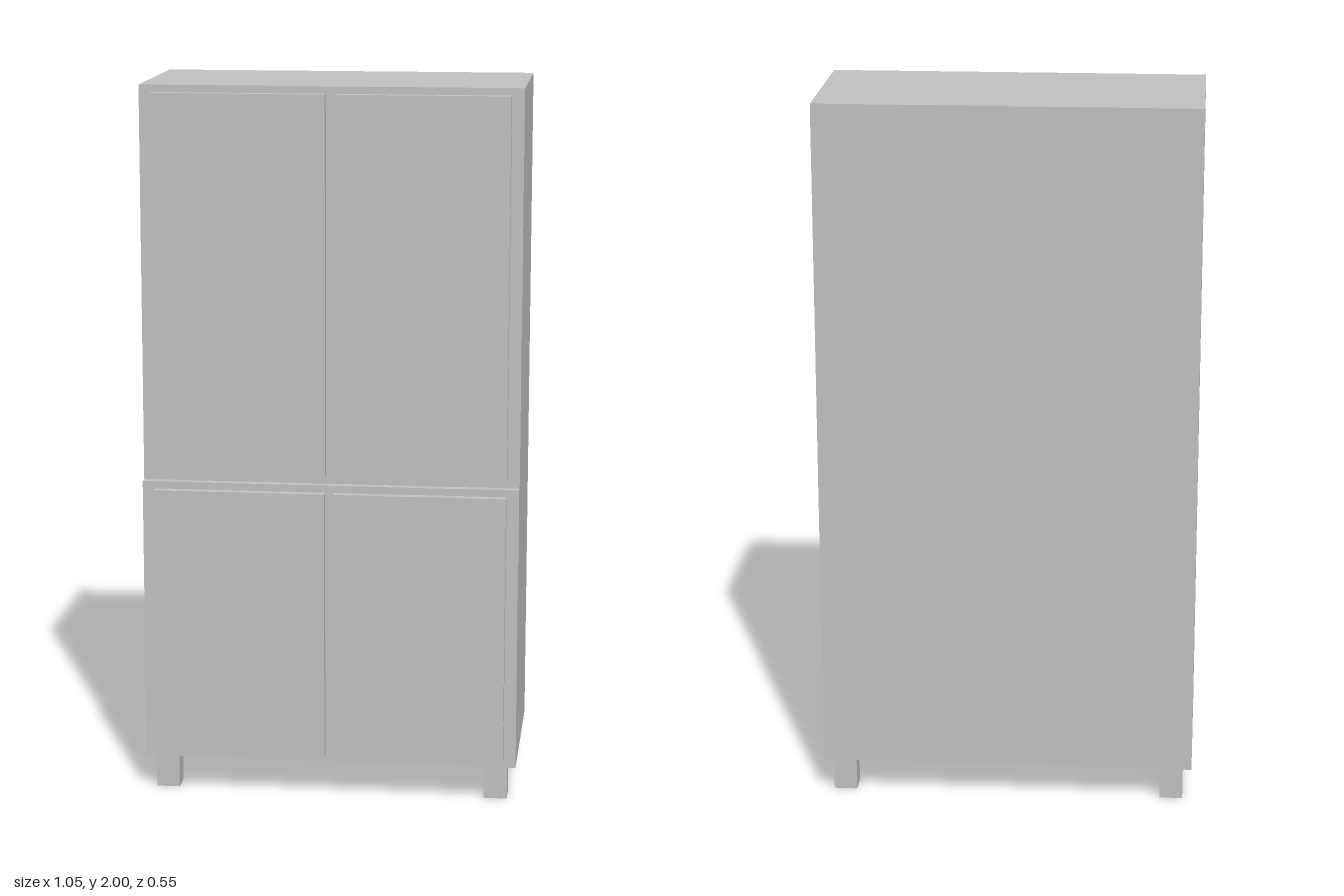
import * as THREE from 'three';

export function createModel() {
  const group = new THREE.Group();
  group.name = 'cupboard';
  const grey = new THREE.MeshStandardMaterial({ color: 0xc0c0c0 });
  grey.name = 'light grey';

  const box = (name, w, h, d, x, y, z) => {
    const mesh = new THREE.Mesh(new THREE.BoxGeometry(w, h, d), grey);
    mesh.name = name;
    mesh.position.set(x, y, z);
    group.add(mesh);
  };

  // Stepped side profile (shape x = depth), extruded across the width
  const profile = new THREE.Shape([
    [-0.275, 0.1], [0.25, 0.1], [0.25, 0.9], [0.225, 0.9], [0.225, 2], [-0.275, 2],
  ].map(([z, y]) => new THREE.Vector2(z, y)));
  const carcass = new THREE.ExtrudeGeometry(profile, { depth: 1.05, bevelEnabled: false });
  carcass.translate(0, 0, -0.525);
  carcass.rotateY(-Math.PI / 2);
  const body = new THREE.Mesh(carcass, grey);
  body.name = 'carcass';
  group.add(body);

  for (const [side, s] of [['left', 1], ['right', -1]]) {
    // Doors, standing proud of the carcass
    box(`${side}UpperDoor`, 0.478, 1.055, 0.025, s * 0.2515, 1.4525, 0.2375);
    box(`${side}LowerDoor`, 0.478, 0.76, 0.025, s * 0.2515, 0.5, 0.2625);
    // Square feet
    box(`${side}FrontFoot`, 0.065, 0.1, 0.065, s * 0.4675, 0.05, 0.1925);
    box(`${side}BackFoot`, 0.065, 0.1, 0.065, s * 0.4675, 0.05, -0.2175);
  }
  return group;
}
